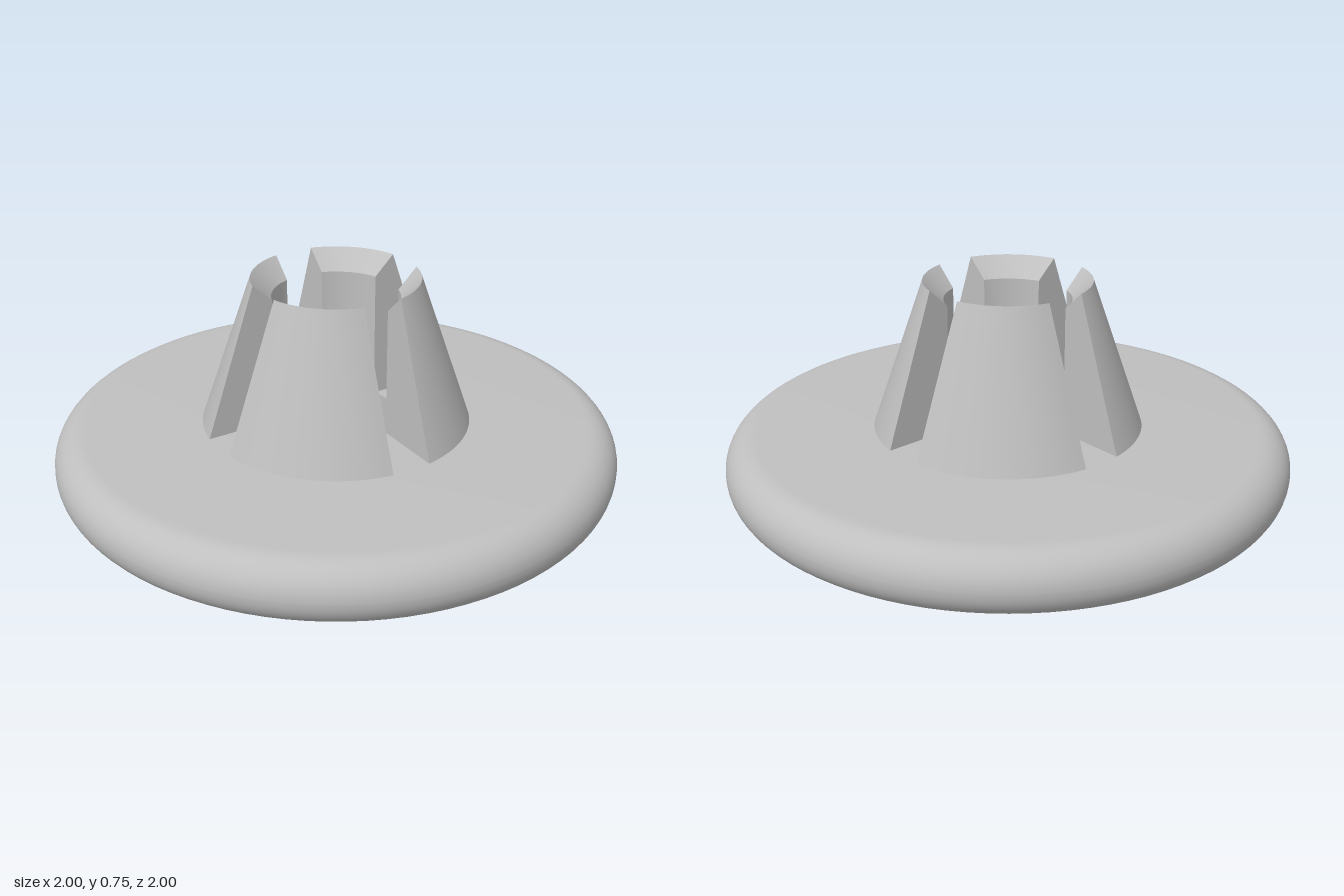
import * as THREE from 'three';
import { toCreasedNormals } from 'three/addons/utils/BufferGeometryUtils.js';

const BORE = 0.223, DECK = 0.225, EDGE = 0.11, SLOT = 0.072;

// Flange: disc with a rounded rim and a through bore
function flangeGeometry() {
  const pts = [new THREE.Vector2(BORE, 0)];
  const arc = (cy, from) => {
    for (let i = 0; i <= 10; i++) {
      const a = from + (i / 10) * Math.PI / 2;
      pts.push(new THREE.Vector2(1 - EDGE + EDGE * Math.cos(a), cy + EDGE * Math.sin(a)));
    }
  };
  arc(EDGE, -Math.PI / 2);
  arc(DECK - EDGE, 0);
  pts.push(new THREE.Vector2(BORE, DECK), new THREE.Vector2(BORE, 0));
  return toCreasedNormals(new THREE.LatheGeometry(pts, 96), 0.6);
}

// Prong: quarter of a tapered collar, cut by parallel-sided slots, chamfered inside
function prongGeometry() {
  const profile = [[BORE, DECK], [0.476, DECK], [0.294, 0.755], [BORE, 0.685]];
  const steps = 20, pos = [];
  const at = (k, i) => {
    const [r, y] = profile[k % 4];
    const a0 = Math.asin(SLOT / r);
    const a = a0 + (Math.PI / 2 - 2 * a0) * (i / steps);
    return [r * Math.cos(a), y, r * Math.sin(a)];
  };
  const quad = (a, b, c, d) => pos.push(...a, ...b, ...c, ...a, ...c, ...d);
  for (let k = 0; k < 4; k++) {
    for (let i = 0; i < steps; i++) quad(at(k, i), at(k + 1, i), at(k + 1, i + 1), at(k, i + 1));
  }
  // Flat slot walls
  quad(at(0, 0), at(3, 0), at(2, 0), at(1, 0));
  quad(at(0, steps), at(1, steps), at(2, steps), at(3, steps));
  const g = new THREE.BufferGeometry();
  g.setAttribute('position', new THREE.Float32BufferAttribute(pos, 3));
  return toCreasedNormals(g, 0.5);
}

export function createModel() {
  const model = new THREE.Group();
  model.name = 'slottedBushing';
  const grey = new THREE.MeshStandardMaterial({ color: 0xbfbfbf });
  grey.name = 'plain grey';

  const flange = new THREE.Mesh(flangeGeometry(), grey);
  flange.name = 'flange';
  model.add(flange);

  // Four prongs around the bore
  const prongGeo = prongGeometry();
  for (let i = 0; i < 4; i++) {
    const prong = new THREE.Mesh(prongGeo, grey);
    prong.name = `prong${i + 1}`;
    prong.rotation.y = i * Math.PI / 2;
    model.add(prong);
  }
  return model;
}
